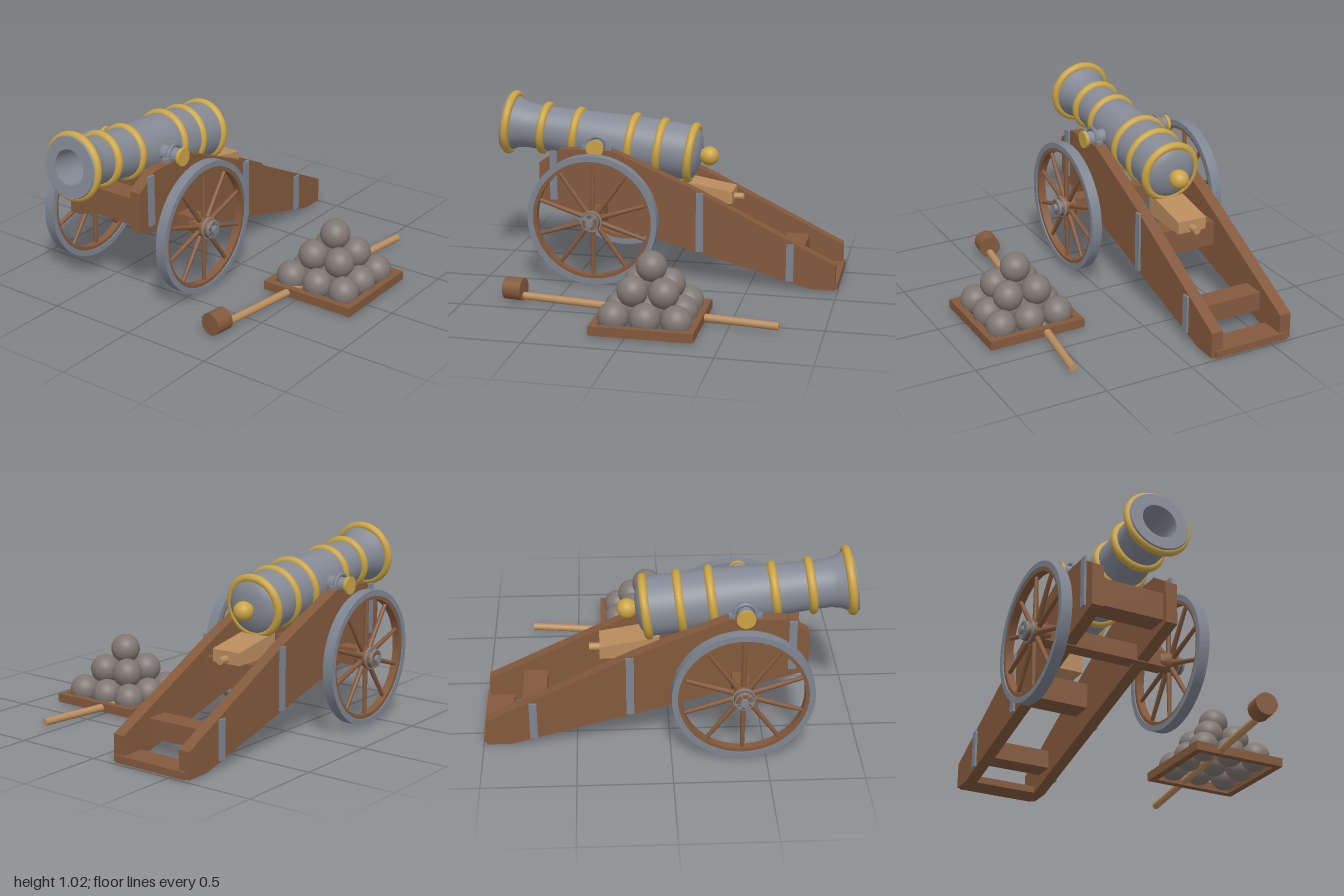
import * as THREE from 'three';
import { toCreasedNormals } from 'three/addons/utils/BufferGeometryUtils.js';

const material = (name, color) => {
  const m = new THREE.MeshStandardMaterial({ color });
  m.name = name;
  return m;
};

export function createModel() {
  const wood = material('brown wood', 0x83593c);
  const paleWood = material('pale wood', 0xb98d5e);
  const iron = material('strap iron', 0x7d8591);
  const gunMetal = material('barrel grey', 0x858a96);
  const brass = material('brass', 0xcaa444);
  const stone = material('shot grey', 0x7f7772);

  const model = new THREE.Group();
  const CX = -0.375; // gun centre line

  const add = (parent, name, geo, mat, x = 0, y = 0, z = 0) => {
    const mesh = new THREE.Mesh(geo, mat);
    mesh.name = name;
    mesh.position.set(x, y, z);
    parent.add(mesh);
    return mesh;
  };
  // Box given by its limits on each axis
  const block = (parent, name, mat, x0, x1, y0, y1, z0, z1) =>
    add(parent, name, new THREE.BoxGeometry(x1 - x0, y1 - y0, z1 - z0), mat,
      (x0 + x1) / 2, (y0 + y1) / 2, (z0 + z1) / 2);
  const lathe = (pts, segments = 48) => toCreasedNormals(
    new THREE.LatheGeometry(pts.map(p => new THREE.Vector2(...p)), segments), 0.6);
  // Side outline of [z, y] points, extruded across x and centred
  const sidePlate = (pts, width) => {
    const geo = new THREE.ExtrudeGeometry(
      new THREE.Shape(pts.map(p => new THREE.Vector2(...p))), { depth: width, bevelEnabled: false });
    return geo.translate(0, 0, -width / 2).rotateY(-Math.PI / 2);
  };
  // Flat ring whose axis is x
  const hoop = (outer, inner, width) => {
    const shape = new THREE.Shape().absarc(0, 0, outer, 0, Math.PI * 2, false);
    shape.holes.push(new THREE.Path().absarc(0, 0, inner, 0, Math.PI * 2, true));
    const geo = new THREE.ExtrudeGeometry(shape, { depth: width, bevelEnabled: false, curveSegments: 32 });
    return toCreasedNormals(geo.translate(0, 0, -width / 2).rotateY(Math.PI / 2), 0.6);
  };

  // Carriage
  const carriage = new THREE.Group();
  carriage.name = 'carriage';
  model.add(carriage);
  const cheek = [
    [0.725, 0.43], [0.725, 0.66], [0.6, 0.745], [0.3, 0.75], [0.14, 0.685],
    [-0.2, 0.54], [-0.985, 0.155], [-0.985, 0.01], [-0.85, 0.01],
  ];
  const straps = [[0.638, 0.45, 0.735], [-0.213, 0.19, 0.535], [-0.73, 0.05, 0.265]];
  for (const s of [-1, 1]) {
    add(carriage, 'cheek', sidePlate(cheek, 0.067), wood, CX + s * 0.213);
    for (const [z, y0, y1] of straps) {
      add(carriage, 'ironStrap', new THREE.BoxGeometry(0.014, y1 - y0, 0.042), iron,
        CX + s * 0.252, (y0 + y1) / 2, z);
    }
    // Arched cap holding the trunnion, with flat feet
    const arch = new THREE.TorusGeometry(0.058, 0.012, 8, 24, Math.PI).rotateY(Math.PI / 2);
    add(carriage, 'trunnionCap', arch, iron, CX + s * 0.213, 0.762, 0.39);
    for (const f of [-1, 1]) {
      add(carriage, 'capFoot', new THREE.BoxGeometry(0.035, 0.02, 0.035), iron,
        CX + s * 0.213, 0.757, 0.39 + f * 0.07);
    }
  }
  block(carriage, 'frontTransom', wood, -0.56, -0.19, 0.45, 0.605, 0.57, 0.7);
  block(carriage, 'middleTransom', wood, -0.56, -0.19, 0.29, 0.435, -0.31, -0.17);
  block(carriage, 'rearTransom', wood, -0.56, -0.19, 0.1, 0.205, -0.79, -0.66);
  block(carriage, 'trailPlank', wood, -0.6, -0.15, 0.01, 0.05, -1, -0.85);
  block(carriage, 'axleBeam', wood, -0.73, -0.02, 0.34, 0.435, 0.32, 0.41);

  // Elevating wedge and its handle
  add(carriage, 'wedge', sidePlate(
    [[-0.37, 0.435], [-0.05, 0.435], [-0.05, 0.56], [-0.37, 0.505]], 0.175), paleWood, CX);
  add(carriage, 'wedgeHandle',
    new THREE.CylinderGeometry(0.021, 0.021, 0.09, 16).rotateX(Math.PI / 2), paleWood, CX, 0.46, -0.38);

  // Wheels, built with the outside facing +x
  for (const s of [-1, 1]) {
    const wheel = new THREE.Group();
    wheel.name = 'wheel';
    wheel.position.set(CX + s * 0.395, 0.384, 0.373);
    if (s < 0) wheel.rotation.y = Math.PI;
    model.add(wheel);
    add(wheel, 'ironTyre', hoop(0.374, 0.342, 0.06), iron);
    add(wheel, 'woodenRim', hoop(0.344, 0.322, 0.045), wood);
    const hub = lathe([[0, -0.075], [0.045, -0.075], [0.058, -0.03], [0.058, 0.03],
      [0.045, 0.07], [0, 0.07]], 32);
    add(wheel, 'hub', hub.rotateZ(-Math.PI / 2), wood);
    for (const [r, x, w] of [[0.061, 0.036, 0.01], [0.05, 0.064, 0.012], [0.022, 0.075, 0.022]]) {
      add(wheel, 'hubBand', new THREE.CylinderGeometry(r, r, w, 28).rotateZ(Math.PI / 2), iron, x);
    }
    for (let i = 0; i < 10; i++) {
      const spoke = new THREE.CylinderGeometry(0.011, 0.015, 0.285, 10).translate(0, 0.188, 0);
      add(wheel, 'spoke', spoke.rotateX(i * Math.PI / 5), wood);
    }
  }

  // Gun, built along +z about the trunnions and then tilted
  const gun = new THREE.Group();
  gun.name = 'gun';
  gun.position.set(CX, 0.765, 0.39);
  gun.rotation.x = -0.122;
  model.add(gun);
  const barrel = lathe([
    [0, -0.57], [0.06, -0.568], [0.11, -0.555], [0.145, -0.535], [0.16, -0.515],
    [0.16, -0.163], [0.138, 0.17], [0.13, 0.365], [0.13, 0.46], [0.14, 0.51],
    [0.165, 0.56], [0.172, 0.585], [0.165, 0.602], [0.097, 0.602], [0.097, 0.3], [0, 0.3],
  ]);
  add(gun, 'barrel', barrel.rotateX(Math.PI / 2), gunMetal);
  const bands = [[-0.515, 0.155], [-0.332, 0.153], [-0.163, 0.155],
    [0.17, 0.133], [0.365, 0.131], [0.57, 0.164]];
  for (const [z, r] of bands) {
    add(gun, 'brassBand', new THREE.TorusGeometry(r, 0.024, 14, 56), brass, 0, 0, z);
  }
  add(gun, 'knobNeck', new THREE.CylinderGeometry(0.028, 0.04, 0.05, 20).rotateX(-Math.PI / 2),
    brass, 0, 0, -0.575);
  add(gun, 'breechKnob', new THREE.SphereGeometry(0.055, 28, 20), brass, 0, 0, -0.615);
  add(gun, 'trunnion', new THREE.CylinderGeometry(0.042, 0.042, 0.53, 28).rotateZ(Math.PI / 2), gunMetal);
  for (const s of [-1, 1]) {
    add(gun, 'trunnionEnd', new THREE.CylinderGeometry(0.05, 0.05, 0.018, 28).rotateZ(Math.PI / 2),
      brass, s * 0.271);
  }

  // Shot tray: an open frame
  const tray = new THREE.Group();
  tray.name = 'shotTray';
  model.add(tray);
  for (const x of [0.295, 0.81]) block(tray, 'trayRail', wood, x, x + 0.04, 0.01, 0.06, -0.365, 0.19);
  for (const z of [-0.365, 0.15]) block(tray, 'trayRail', wood, 0.335, 0.81, 0.01, 0.06, z, z + 0.04);

  // Pyramid of shot, 3 x 3, 2 x 2 and 1
  for (let layer = 0; layer < 3; layer++) {
    const n = 3 - layer;
    for (let i = 0; i < n; i++) for (let j = 0; j < n; j++) {
      add(tray, 'shot', new THREE.SphereGeometry(0.083, 28, 20), stone,
        0.572 + (i - (n - 1) / 2) * 0.168, 0.084 + layer * 0.117, -0.088 + (j - (n - 1) / 2) * 0.168);
    }
  }

  // Rammer lying on the ground
  const rammer = new THREE.Group();
  rammer.name = 'rammer';
  rammer.position.set(0.376, 0, 0.725);
  rammer.rotation.y = Math.atan2(-0.195, 1.49);
  model.add(rammer);
  add(rammer, 'rammerPole', new THREE.CylinderGeometry(0.021, 0.021, 1.5, 20).rotateX(Math.PI / 2),
    paleWood, 0, 0.034, -0.755);
  add(rammer, 'rammerHead', new THREE.CylinderGeometry(0.062, 0.062, 0.105, 28).rotateX(Math.PI / 2),
    wood, 0, 0.07, 0);

  return model;
}
